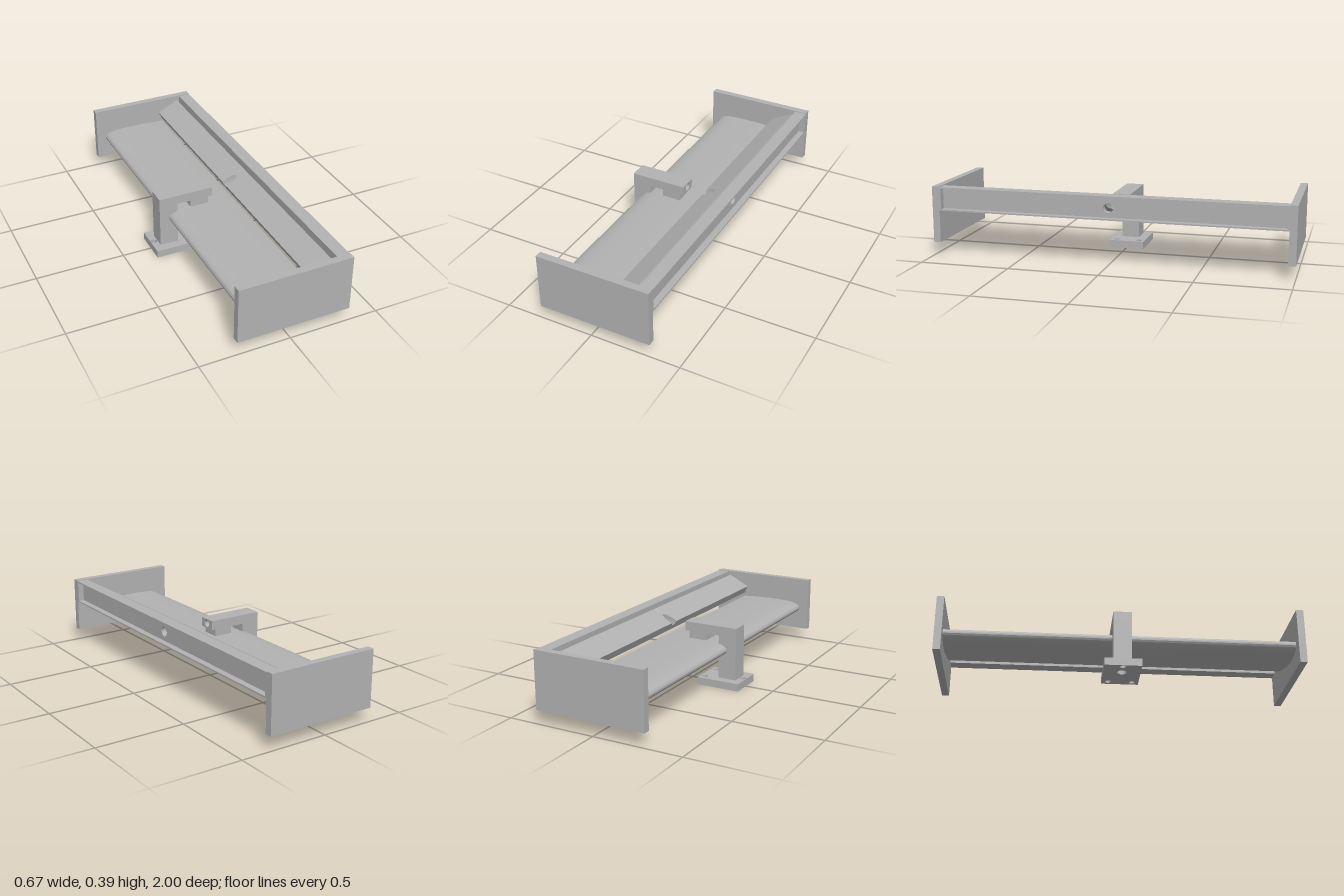
import * as THREE from 'three';
import { toCreasedNormals } from 'three/addons/utils/BufferGeometryUtils.js';

const grey = new THREE.MeshStandardMaterial({ color: 0xb2b2b2 });
grey.name = 'plain grey';

const HOLE_Y = 0.315, HOLE_R = 0.027;

function add(parent, name, geometry) {
  const mesh = new THREE.Mesh(geometry, grey);
  mesh.name = name;
  parent.add(mesh);
  return mesh;
}

// Box given by its limits on each axis
function box(parent, name, x0, x1, y0, y1, z0, z1) {
  const g = new THREE.BoxGeometry(x1 - x0, y1 - y0, z1 - z0);
  g.translate((x0 + x1) / 2, (y0 + y1) / 2, (z0 + z1) / 2);
  return add(parent, name, g);
}

// Rectangle shape with round holes [x, y, radius]
function plate(x0, x1, y0, y1, holes) {
  const s = new THREE.Shape([[x0, y0], [x1, y0], [x1, y1], [x0, y1]].map(p => new THREE.Vector2(...p)));
  for (const [x, y, r] of holes) {
    const h = new THREE.Path();
    h.absarc(x, y, r, 0, Math.PI * 2, true);
    s.holes.push(h);
  }
  return s;
}

function extrude(shape, depth) {
  return toCreasedNormals(
    new THREE.ExtrudeGeometry(shape, { depth, bevelEnabled: false, curveSegments: 24 }), 0.6);
}
const extrudeX = (shape, x0, x1) => extrude(shape, x1 - x0).rotateY(Math.PI / 2).translate(x0, 0, 0);
const extrudeY = (shape, y0, y1) => extrude(shape, y1 - y0).rotateX(-Math.PI / 2).translate(0, y0, 0);
const extrudeZ = (shape, z0, z1) => extrude(shape, z1 - z0).translate(0, 0, z0);

// Part of a convex outline above (sign 1) or below (sign -1) a height
function clip(points, y, sign) {
  const out = [];
  points.forEach((a, i) => {
    const b = points[(i + 1) % points.length];
    const da = (a.y - y) * sign, db = (b.y - y) * sign;
    if (da >= 0) out.push(a);
    if (da * db < 0) out.push(a.clone().lerp(b, da / (da - db)));
  });
  return out;
}

export function createModel() {
  const model = new THREE.Group();
  model.name = 'rear wing';

  // End plates
  box(model, 'leftEndPlate', -0.295, 0.335, 0.075, 0.39, 0.96, 1);
  box(model, 'rightEndPlate', -0.295, 0.335, 0.075, 0.39, -1, -0.96);

  // Main wing: cambered section with a blunt trailing edge
  const wing = new THREE.Shape();
  wing.moveTo(0.145, 0.215);
  wing.lineTo(0.145, 0.238);
  wing.splineThru([[0.02, 0.244], [-0.1, 0.245], [-0.18, 0.24], [-0.225, 0.227], [-0.24, 0.207],
    [-0.228, 0.185], [-0.19, 0.168], [-0.13, 0.161], [-0.06, 0.166], [0.04, 0.187],
    [0.145, 0.215]].map(p => new THREE.Vector2(...p)));
  add(model, 'mainWing', extrudeZ(wing, -0.96, 0.96));

  // Tilted flap, bored through along x at mid-span
  const flap = new THREE.Group();
  flap.name = 'flap';
  model.add(flap);
  const section = [[0.12, 0.305], [0.14, 0.262], [0.262, 0.323], [0.245, 0.368]]
    .map(p => new THREE.Vector2(...p));
  const solid = new THREE.Shape(section);
  add(flap, 'flapLeft', extrudeZ(solid, HOLE_R, 0.95));
  add(flap, 'flapRight', extrudeZ(solid, -0.95, -HOLE_R));
  const slices = 20;
  for (let i = 0; i < slices; i++) {
    const z0 = HOLE_R * (2 * i / slices - 1), z1 = HOLE_R * (2 * (i + 1) / slices - 1);
    const h = Math.sqrt(HOLE_R ** 2 - ((z0 + z1) / 2) ** 2);
    for (const sign of [1, -1]) {
      const part = clip(section, HOLE_Y + sign * h, sign);
      if (part.length > 2) add(flap, 'flapHoleEdge', extrudeZ(new THREE.Shape(part), z0, z1));
    }
  }

  // Shallow tray behind the flap, open to the rear
  const tray = new THREE.Group();
  tray.name = 'rearTray';
  model.add(tray);
  add(tray, 'trayWeb', extrudeX(plate(-0.96, 0.96, 0.255, 0.386, [[0, HOLE_Y, HOLE_R]]), 0.265, 0.3));
  box(tray, 'trayTop', 0.3, 0.335, 0.378, 0.386, -0.96, 0.96);
  box(tray, 'trayBottom', 0.3, 0.335, 0.255, 0.263, -0.96, 0.96);
  for (const s of [-1, 1]) {
    box(tray, 'trayEnd', 0.3, 0.335, 0.263, 0.378, s * 0.955 - 0.005, s * 0.955 + 0.005);
  }

  // Mount: drilled foot, post, arm and the pad resting on the wing
  const mount = new THREE.Group();
  mount.name = 'mount';
  model.add(mount);
  add(mount, 'foot', extrudeY(plate(-0.335, -0.085, -0.1, 0.1,
    [[-0.243, 0, 0.026], [-0.315, 0, 0.016], [-0.115, 0.065, 0.016], [-0.115, -0.065, 0.016]]), 0, 0.042));
  add(mount, 'post', extrudeY(plate(-0.295, -0.19, -0.05, 0.05, [[-0.243, 0, 0.026]]), 0.042, 0.285));
  box(mount, 'arm', -0.295, -0.1, 0.285, 0.337, -0.05, 0.05);
  add(mount, 'armTip', extrudeX(plate(-0.05, 0.05, 0.285, 0.337, [[0, 0.312, 0.021]]), -0.1, 0.02));
  box(mount, 'pad', -0.11, -0.005, 0.235, 0.285, -0.05, 0.05);

  return model;
}
